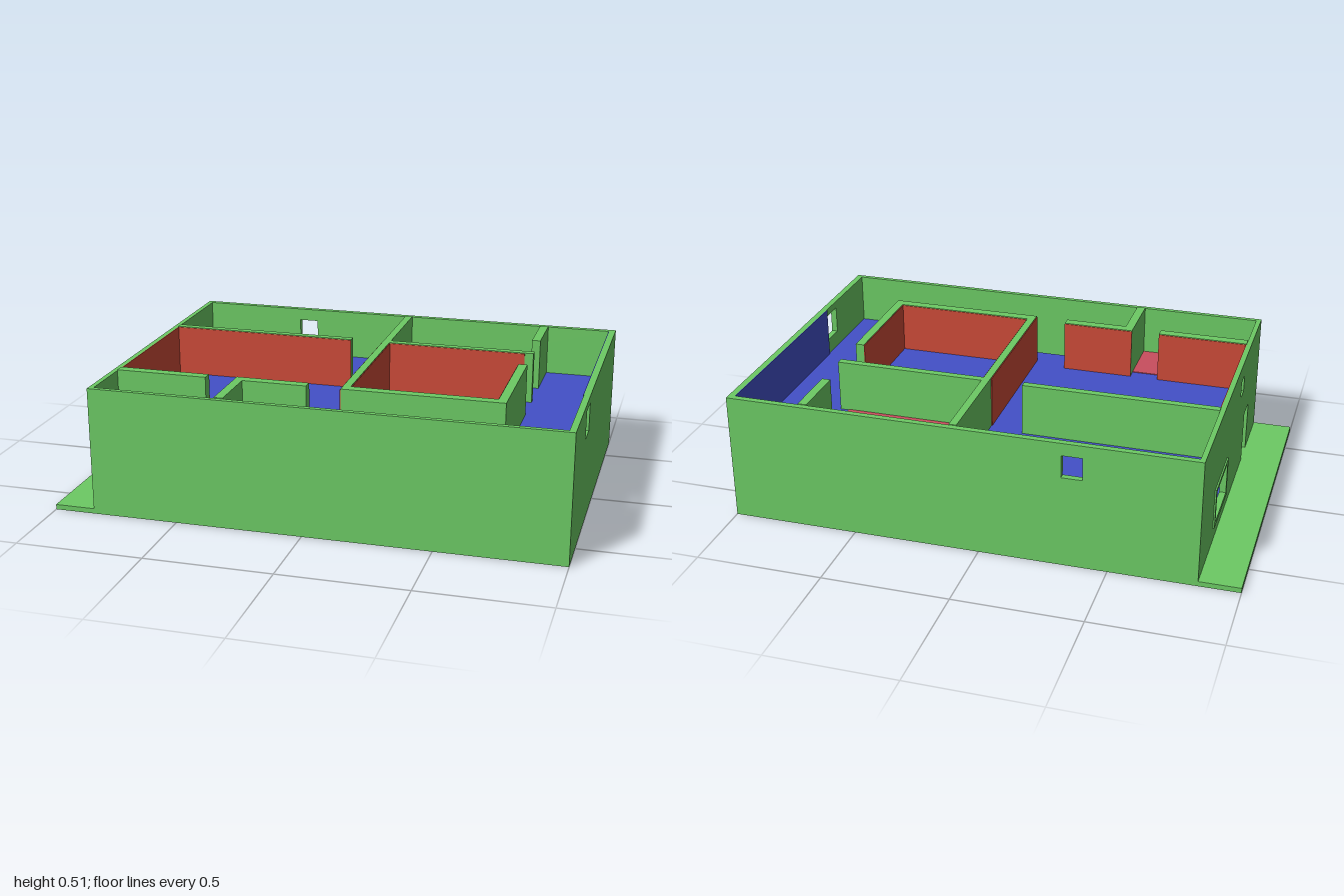
import * as THREE from 'three';

const mat = (color) => new THREE.MeshStandardMaterial({ color });

export function createModel() {
  const house = new THREE.Group();
  const green = mat(0x6cca64), blue = mat(0x4350c8), red = mat(0xcc4a38), rose = mat(0xc94e5e);

  const add = (name, geometry, material) => {
    const mesh = new THREE.Mesh(geometry, material);
    mesh.name = name;
    house.add(mesh);
    return mesh;
  };

  // Box given by its limits on each axis
  const box = (name, material, x0, x1, y0, y1, z0, z1) => {
    const g = new THREE.BoxGeometry(x1 - x0, y1 - y0, z1 - z0);
    g.translate((x0 + x1) / 2, (y0 + y1) / 2, (z0 + z1) / 2);
    return add(name, g, material);
  };

  // Upright slab with rectangular openings [u0, u1, y0, y1]
  const rect = (P, u0, u1, y0, y1) => new P([
    new THREE.Vector2(u0, y0), new THREE.Vector2(u1, y0),
    new THREE.Vector2(u1, y1), new THREE.Vector2(u0, y1)]);
  const pierced = (u0, u1, y0, y1, depth, holes) => {
    const shape = rect(THREE.Shape, u0, u1, y0, y1);
    shape.holes = holes.map((h) => rect(THREE.Path, ...h));
    return new THREE.ExtrudeGeometry(shape, { depth, bevelEnabled: false });
  };
  const wallAlongX = (name, material, x0, x1, y0, y1, z0, z1, holes = []) =>
    add(name, pierced(x0, x1, y0, y1, z1 - z0, holes).translate(0, 0, z0), material);
  const wallAlongZ = (name, material, x0, x1, y0, y1, z0, z1, holes = []) =>
    add(name, pierced(z0, z1, y0, y1, x1 - x0, holes).rotateY(-Math.PI / 2).translate(x1, 0, 0), material);

  const top = 0.51, floorY = 0.305;

  // Ground slab with a porch strip along the right side
  box('groundSlab', green, -1, 1, 0, 0.02, -0.665, 0.665);
  box('groundFloor', blue, -0.82, 0.975, 0.02, 0.024, -0.64, 0.645);

  // Outer walls
  const frontWindow = [-0.36, -0.13, 0.1, 0.23];
  const door = [0.315, 0.42, 0.02, 0.23];
  const smallWindow = [0.17, 0.24, 0.37, 0.44];
  wallAlongZ('entranceWall', green, -0.84, -0.82, 0.02, top, -0.665, 0.665, [frontWindow, door, smallWindow]);
  wallAlongZ('farSideWall', green, 0.975, 1, 0.02, top, -0.665, 0.665, [[0.24, 0.34, 0.37, 0.48]]);
  wallAlongX('backWall', green, -0.82, 0.975, 0.02, top, -0.665, -0.64, [[-0.4, -0.32, 0.37, 0.46]]);
  wallAlongX('frontWall', green, -0.82, 0.975, 0.02, top, 0.645, 0.665);
  wallAlongZ('windowFrame', green, -0.846, -0.84, 0.08, 0.245, -0.38, -0.11, [frontWindow]);

  // Upper floor in pieces around the stairwell, with a green ceiling below
  const floorPieces = [
    [-0.82, 0.975, -0.64, 0.51],
    [-0.82, -0.305, 0.51, 0.645],
    [0.21, 0.975, 0.51, 0.645],
  ];
  for (const [x0, x1, z0, z1] of floorPieces) {
    box('ceiling', green, x0, x1, 0.285, 0.3, z0, z1);
    box('upperFloor', blue, x0, x1, 0.3, floorY, z0, z1);
  }
  box('topStep', red, 0.19, 0.21, 0.265, 0.285, 0.51, 0.645);
  box('backBathroomFloor', rose, 0.115, 0.68, floorY, 0.308, -0.64, -0.25);
  box('frontBathroomFloor', rose, -0.82, -0.34, floorY, 0.308, 0.425, 0.645);

  // Upper partitions: x0, x1, z0, z1
  const partitions = [
    [-0.82, -0.05, -0.25, -0.22],
    [0.115, 0.715, -0.25, -0.22],
    [0.085, 0.115, -0.64, 0.425],
    [0.68, 0.715, -0.64, -0.41],
    [0.68, 0.715, -0.065, 0.385],
    [0.115, 0.715, 0.385, 0.425],
    [-0.82, -0.455, 0.385, 0.425],
    [-0.34, -0.05, 0.385, 0.425],
    [-0.34, -0.305, 0.425, 0.645],
  ];
  for (const [x0, x1, z0, z1] of partitions) box('partition', green, x0, x1, 0.3, 0.513, z0, z1);

  // Painted faces of the two red rooms: x0, x1, z0, z1
  const t = 0.003;
  const paint = [
    [-0.82, -0.05, -0.22, -0.22 + t],
    [-0.82, -0.455, 0.385 - t, 0.385],
    [-0.34, -0.05, 0.385 - t, 0.385],
    [0.085 - t, 0.085, -0.22, 0.425],
    [0.115, 0.115 + t, -0.22, 0.385],
    [0.115, 0.68, -0.22, -0.22 + t],
    [0.115, 0.68, 0.385 - t, 0.385],
    [0.68 - t, 0.68, -0.065, 0.385],
  ];
  for (const [x0, x1, z0, z1] of paint) box('redWallFace', red, x0, x1, floorY, top, z0, z1);
  wallAlongZ('redWindowFace', red, -0.82, -0.82 + t, floorY, top, -0.22, 0.385, [smallWindow]);
  box('blueWallFace', blue, 0.975 - t, 0.975, floorY, top, -0.64, 0.24);

  return house;
}
